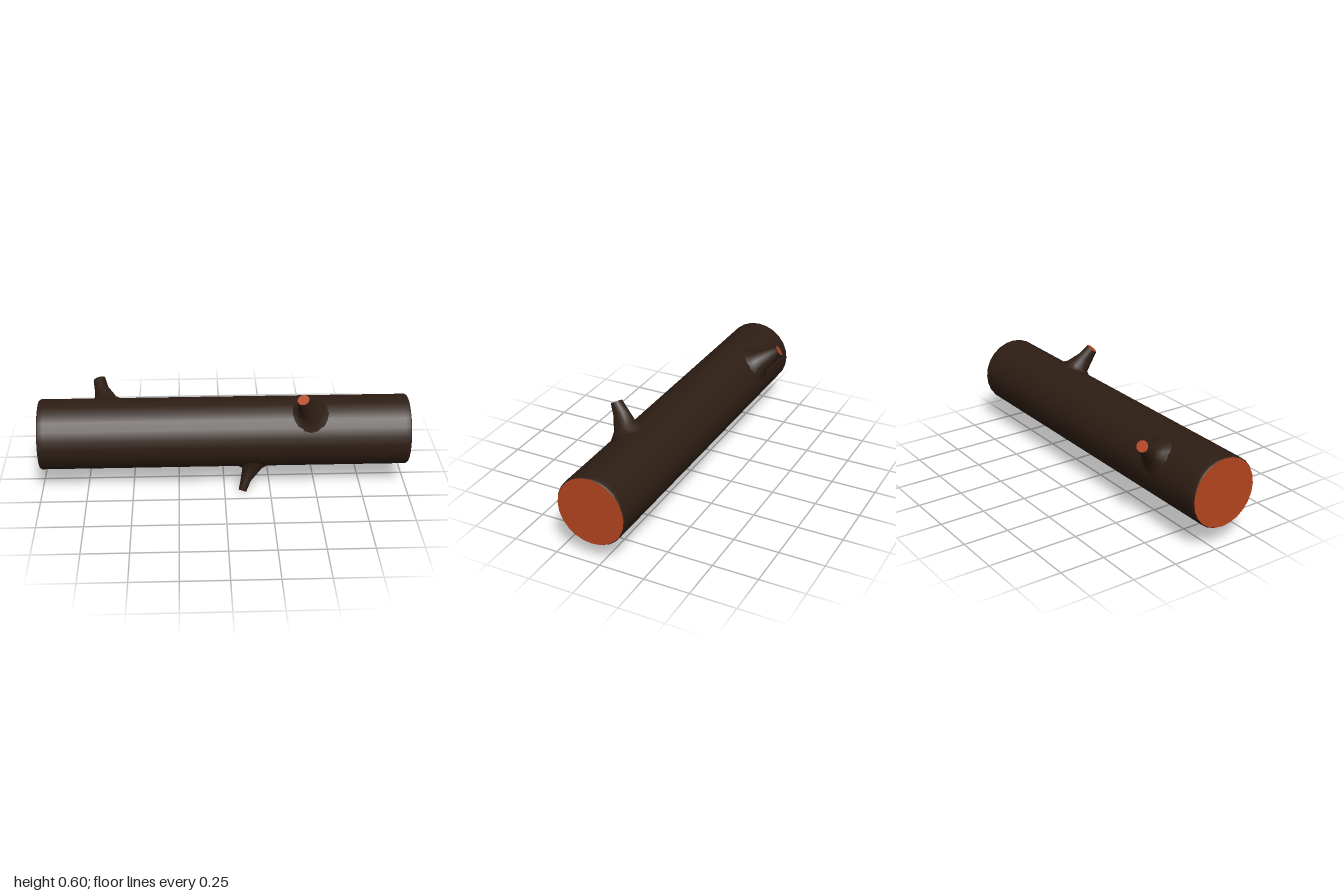
import * as THREE from 'three';

const R = 0.191, AXIS_Y = 0.307, AXIS_Z = 0.039, SIDES = 24;
const bark = new THREE.MeshStandardMaterial({ color: 0x2e1e14 });
const wood = new THREE.MeshStandardMaterial({ color: 0xb5451f });

function addMesh(parent, name, geometry, material) {
  const mesh = new THREE.Mesh(geometry, material);
  mesh.name = name;
  parent.add(mesh);
  return mesh;
}

// Smooth skin through closed rings of points
function loft(rings) {
  const n = rings[0].length, index = [];
  for (let i = 0; i < rings.length - 1; i++) {
    for (let j = 0; j < n; j++) {
      const a = i * n + j, b = i * n + (j + 1) % n;
      index.push(a, b, a + n, b, b + n, a + n);
    }
  }
  const g = new THREE.BufferGeometry().setFromPoints(rings.flat());
  g.setIndex(index);
  g.computeVertexNormals();
  return g;
}

// Flat fan closing a ring
function capGeometry(ring) {
  const centre = ring.reduce((s, p) => s.add(p), new THREE.Vector3()).divideScalar(ring.length);
  const g = new THREE.BufferGeometry().setFromPoints([centre, ...ring]);
  g.setIndex(ring.flatMap((_, j) => [0, j + 1, (j + 1) % ring.length + 1]));
  g.computeVertexNormals();
  return g;
}

// Cut branch: angle around the trunk (0 = up, positive = front), x of root and tip
function branch({ name, angle, rootX, tipX, reach, rootR, tipR }) {
  const group = new THREE.Group();
  group.name = name;
  const out = new THREE.Vector3(0, Math.cos(angle), Math.sin(angle));
  const side = new THREE.Vector3(0, Math.sin(angle), -Math.cos(angle));
  const ring = (x, d, hx, hv, tilt, onTrunk) => Array.from({ length: 16 }, (_, j) => {
    const t = j / 16 * Math.PI * 2, u = hx * Math.cos(t), v = hv * Math.sin(t);
    const height = onTrunk ? Math.sqrt(R * R - v * v) - 0.003 : d + u * Math.sin(tilt);
    return new THREE.Vector3(x + u * Math.cos(tilt), 0, 0)
      .addScaledVector(out, height).addScaledVector(side, v);
  });
  const lerp = THREE.MathUtils.lerp;
  const tip = ring(tipX, reach, tipR * 1.08, tipR, 0.3);
  const rings = [
    ring(rootX + 0.005, 0, rootR * 1.6, rootR * 1.65, 0, true),
    ring(rootX, 0.206, rootR, rootR, 0.05),
    ring(lerp(rootX, tipX, 0.65), 0.27, lerp(rootR, tipR, 0.75), lerp(rootR, tipR, 0.5), 0.2),
    tip,
  ];
  addMesh(group, name + 'Bark', loft(rings), bark);
  addMesh(group, name + 'Cut', capGeometry(tip), wood);
  return group;
}

export function createModel() {
  const model = new THREE.Group();
  model.name = 'log';
  const body = new THREE.Group();
  body.name = 'logBody';
  body.position.set(0, AXIS_Y, AXIS_Z);
  model.add(body);

  // Trunk with slightly eased ends
  const profile = [[0.186, -1], [R, -0.992], [R, -0.97], [R, 0.97], [R, 0.992], [0.186, 1]];
  const trunk = new THREE.LatheGeometry(profile.map(([r, y]) => new THREE.Vector2(r, y)), SIDES);
  addMesh(body, 'trunkBark', trunk.rotateZ(-Math.PI / 2), bark);

  // Sawn end faces
  for (const s of [1, -1]) {
    const face = addMesh(body, s > 0 ? 'leftCutEnd' : 'rightCutEnd',
      new THREE.CircleGeometry(0.186, SIDES), wood);
    face.rotation.y = s * Math.PI / 2;
    face.position.x = s;
  }

  // Branch stubs
  body.add(
    branch({ name: 'upperFrontBranch', angle: 0.588, rootX: 0.455, tipX: 0.41, reach: 0.334, rootR: 0.064, tipR: 0.03 }),
    branch({ name: 'upperBackBranch', angle: -0.929, rootX: -0.645, tipX: -0.685, reach: 0.331, rootR: 0.063, tipR: 0.031 }),
    branch({ name: 'lowerFrontBranch', angle: 2.687, rootX: 0.15, tipX: 0.097, reach: 0.327, rootR: 0.052, tipR: 0.02 }),
  );
  return model;
}
